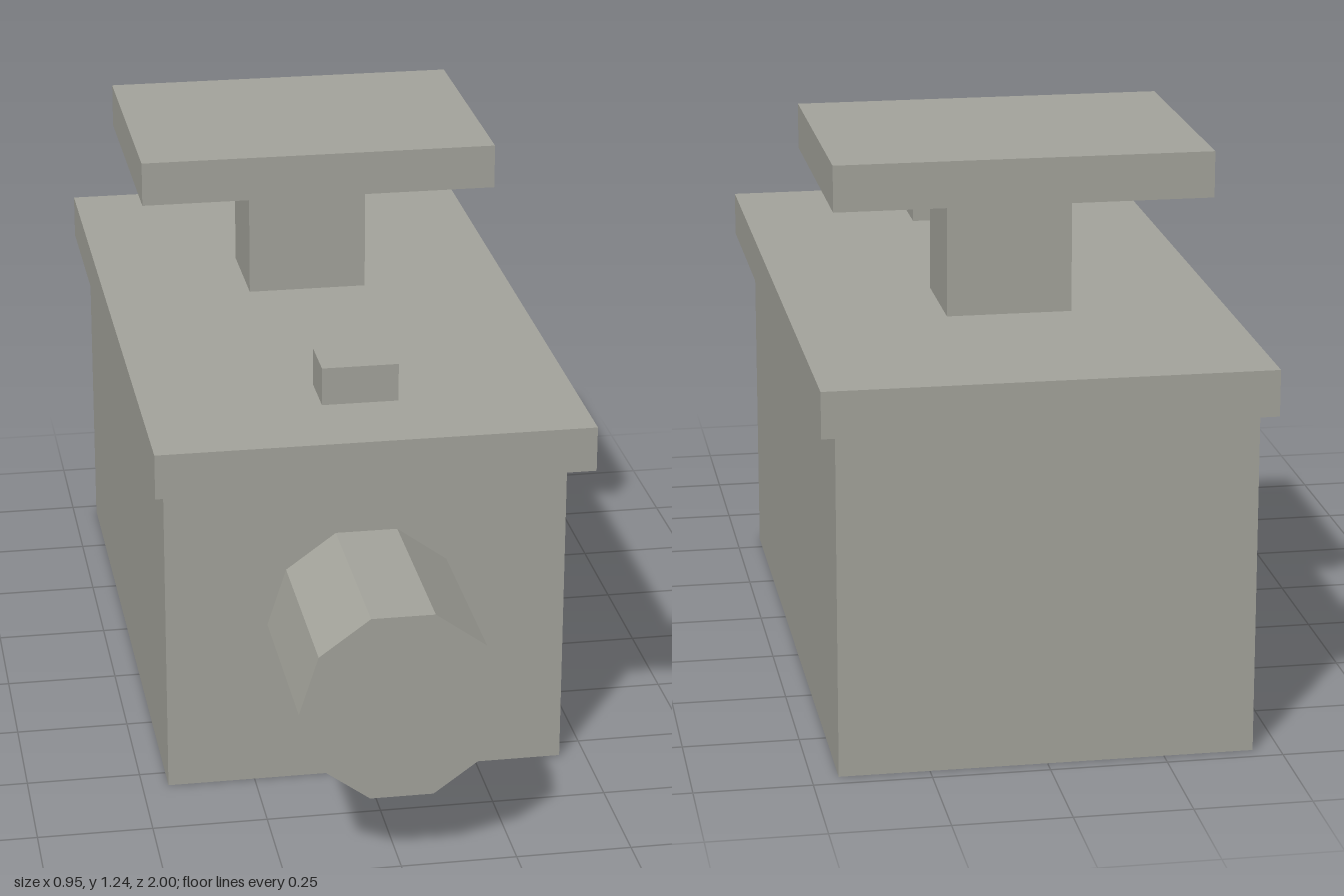
import * as THREE from 'three';

export function createModel() {
  const model = new THREE.Group();
  model.name = 'boxWithDial';

  const grey = new THREE.MeshStandardMaterial({ color: 0xa5a59d, flatShading: true });
  grey.name = 'warmGrey';

  function add(name, geometry) {
    const mesh = new THREE.Mesh(geometry, grey);
    mesh.name = name;
    model.add(mesh);
    return mesh;
  }

  // Box centred on x, given its width and its y and z ranges
  function block(name, width, y0, y1, z0, z1) {
    const mesh = add(name, new THREE.BoxGeometry(width, y1 - y0, z1 - z0));
    mesh.position.set(0, (y0 + y1) / 2, (z0 + z1) / 2);
  }

  // Main housing and its overhanging lid
  block('body', 0.885, 0, 0.75, -0.965, 0.56);
  block('lid', 0.95, 0.75, 0.85, -1, 0.695);

  // Raised platform on a short post
  block('post', 0.273, 0.85, 1.138, -0.488, -0.25);
  block('topPlate', 0.81, 1.138, 1.238, -0.677, -0.07);

  // Small button near the front of the lid
  block('button', 0.168, 0.85, 0.935, 0.355, 0.475);

  // Ten-sided barrel on the front, with a flat facet at the top
  const barrel = new THREE.CylinderGeometry(0.219, 0.219, 0.44, 10, 1, false, Math.PI / 10);
  barrel.rotateX(Math.PI / 2);
  add('frontBarrel', barrel).position.set(0, 0.376, 0.78);

  return model;
}
